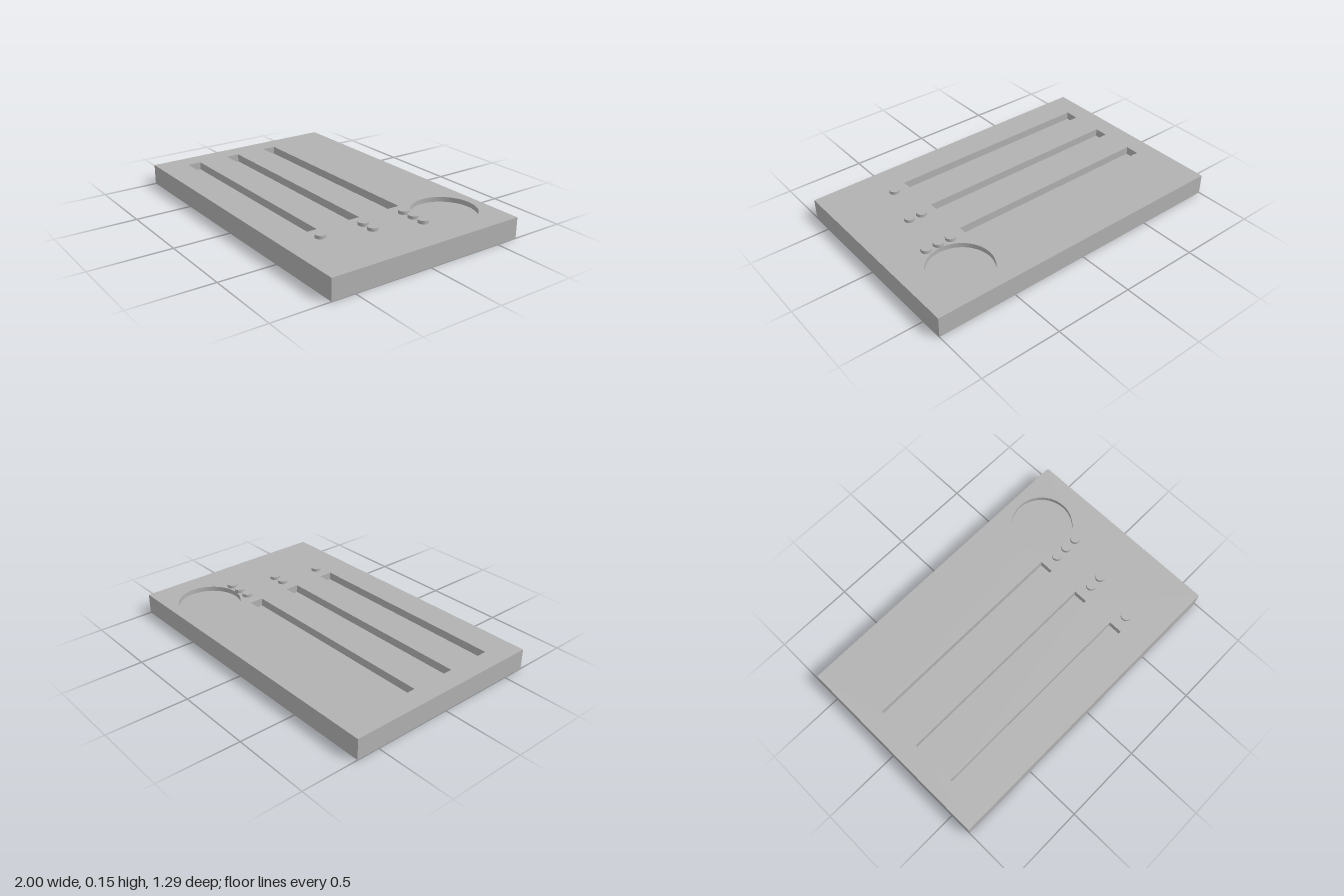
import * as THREE from 'three';

const HEIGHT = 0.13;

// Outlines hold (x, -z) points, counter-clockwise when seen from above.
function rectangle(x0, x1, z0, z1) {
  return [[x0, z1], [x1, z1], [x1, z0], [x0, z0]].map(([x, z]) => new THREE.Vector2(x, -z));
}

function circle(x, z, radius, segments = 64) {
  return Array.from({ length: segments }, (_, i) => {
    const a = (i / segments) * Math.PI * 2;
    return new THREE.Vector2(x + radius * Math.cos(a), -z + radius * Math.sin(a));
  });
}

// Horizontal face, looking up
function faceGeometry(outline, y, holes = []) {
  const shape = new THREE.Shape(outline);
  shape.holes = holes.map((h) => new THREE.Path(h));
  return new THREE.ShapeGeometry(shape).rotateX(-Math.PI / 2).translate(0, y, 0);
}

// Vertical wall around an outline, facing outwards; reverse the outline to face inwards
function wallGeometry(outline, y0, y1) {
  const positions = [];
  outline.forEach((a, i) => {
    const b = outline[(i + 1) % outline.length];
    positions.push(a.x, y0, -a.y, b.x, y0, -b.y, b.x, y1, -b.y);
    positions.push(a.x, y0, -a.y, b.x, y1, -b.y, a.x, y1, -a.y);
  });
  const geometry = new THREE.BufferGeometry();
  geometry.setAttribute('position', new THREE.Float32BufferAttribute(positions, 3));
  geometry.computeVertexNormals();
  return geometry;
}

export function createModel() {
  const model = new THREE.Group();
  model.name = 'slottedTray';
  const grey = new THREE.MeshStandardMaterial({ color: 0xb2b2b2 });
  grey.name = 'plain grey';

  const add = (name, geometry) => {
    const mesh = new THREE.Mesh(geometry, grey);
    mesh.name = name;
    model.add(mesh);
    return mesh;
  };

  // Three long slots and a shallow round recess
  const rows = [-0.165, 0.125, 0.415];
  const pockets = rows.map((z, i) => ({
    name: `slot${i + 1}`,
    outline: rectangle(-0.875, 0.483, z - 0.044, z + 0.044),
    depth: 0.05,
  }));
  pockets.push({ name: 'roundRecess', outline: circle(0.676, -0.39, 0.195), depth: 0.03 });

  // Board: top with openings, sides and underside
  const board = rectangle(-1, 1, -0.645, 0.645);
  add('boardTop', faceGeometry(board, HEIGHT, pockets.map((p) => p.outline)));
  add('boardSides', wallGeometry(board, 0, HEIGHT));
  add('boardUnderside', faceGeometry(board, 0).rotateX(Math.PI));

  // Pocket walls and floors
  for (const { name, outline, depth } of pockets) {
    add(`${name}Floor`, faceGeometry(outline, HEIGHT - depth));
    add(`${name}Wall`, wallGeometry([...outline].reverse(), HEIGHT - depth, HEIGHT));
  }

  // Raised counting dots beside each slot: three, two, one
  rows.forEach((z, row) => {
    for (let i = 0; i < 3 - row; i++) {
      const dot = add('raisedDot', new THREE.CylinderGeometry(0.032, 0.032, 0.02, 32));
      dot.position.set(0.58 + i * 0.083, HEIGHT + 0.01, z);
    }
  });

  return model;
}
